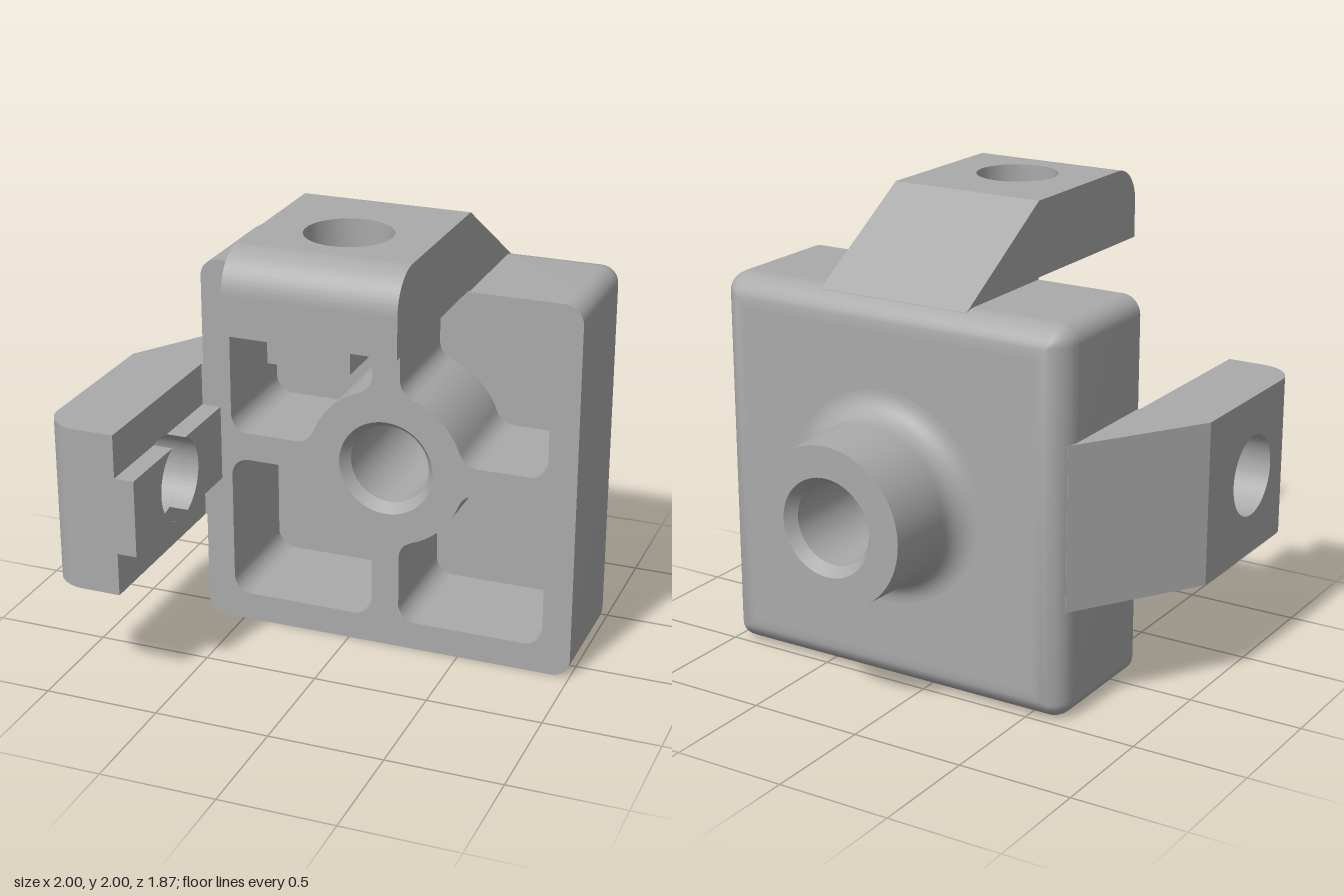
import * as THREE from 'three';
import { toCreasedNormals } from 'three/addons/utils/BufferGeometryUtils.js';

const grey = new THREE.MeshStandardMaterial({ color: 0xaaaaaa });
grey.name = 'grey plastic';

const HALF = 0.8335;                 // half width of the square block
const FRONT = 0.105, SHOULDER = -0.395, FILLET = 0.125;
const ARM_W = 0.354, ARM_LOW = 0.842, ARM_TOP = 1.1665, ARM_END = 0.937;
const HOLE_Z = 0.518, HOLE_R = 0.178;

function part(name, geometry) {
  const mesh = new THREE.Mesh(toCreasedNormals(geometry, 0.5), grey);
  mesh.name = name;
  return mesh;
}

function extrude(shape, depth) {
  return new THREE.ExtrudeGeometry(shape, { depth, bevelEnabled: false, curveSegments: 32 });
}

// Shape drawn in (x, z), filled between two heights
function slab(shape, low, high) {
  return extrude(shape, high - low).rotateX(Math.PI / 2).translate(0, high, 0);
}

// Profile drawn in (z, y), swept across the arm width
function profile(shape) {
  return extrude(shape, ARM_W * 2).rotateY(-Math.PI / 2).translate(ARM_W, 0, 0);
}

function circle(r, x = 0, y = 0) {
  return new THREE.Path().absarc(x, y, r, 0, Math.PI * 2, false);
}

// Outline points of a centred square with rounded corners
function roundedSquare(half, r) {
  const pts = [];
  for (let q = 0; q < 4; q++) {
    const sx = q === 0 || q === 3 ? 1 : -1, sy = q < 2 ? 1 : -1;
    for (let i = 0; i <= 8; i++) {
      const a = (q + i / 8) * Math.PI / 2;
      pts.push(new THREE.Vector2(sx * (half - r) + r * Math.cos(a), sy * (half - r) + r * Math.sin(a)));
    }
  }
  return pts;
}

// One pocket outline, mirrored into a quadrant by the signs
function pocket(sx, sy) {
  const near = 0.062, far = 0.708, r = 0.08, a = 0.367;
  const p = new THREE.Path();
  p.moveTo(0.41, near).lineTo(far - r, near);
  p.absarc(far - r, near + r, r, -Math.PI / 2, 0, false);
  p.absarc(far - r, far - r, r, 0, Math.PI / 2, false);
  p.absarc(near + r, far - r, r, Math.PI / 2, Math.PI, false);
  p.lineTo(near, 0.41);
  p.quadraticCurveTo(near, 0.348, 0.125, 0.325);
  p.absarc(0, 0, 0.348, Math.PI / 2 - a, a, true);
  p.quadraticCurveTo(0.348, near, 0.41, near);
  const pts = p.getPoints(10).map(v => new THREE.Vector2(v.x * sx, v.y * sy));
  return new THREE.Path(pts);
}

// Rounded rear edge, lofted through shrinking square outlines
function rearEdge() {
  const steps = 10, rings = [], pos = [];
  for (let i = 0; i <= steps; i++) {
    const t = i / steps * Math.PI / 2, d = FILLET * (1 - Math.cos(t));
    const z = SHOULDER - FILLET * Math.sin(t);
    rings.push(roundedSquare(HALF - d, Math.max(0.08 - d, 0.002)).map(v => [v.x, v.y, z]));
  }
  for (let i = 0; i < steps; i++) {
    const a = rings[i], b = rings[i + 1], n = a.length;
    for (let j = 0; j < n; j++) {
      const k = (j + 1) % n;
      pos.push(...a[j], ...b[j], ...a[k], ...a[k], ...b[j], ...b[k]);
    }
  }
  const g = new THREE.BufferGeometry();
  g.setAttribute('position', new THREE.Float32BufferAttribute(pos, 3));
  g.computeVertexNormals();
  return g;
}

function createBlock() {
  const block = new THREE.Group();
  block.name = 'block';

  // Walls, ribs and central ring
  const frame = new THREE.Shape(roundedSquare(HALF, 0.08));
  frame.holes.push(circle(0.21));
  for (const sx of [-1, 1]) for (const sy of [-1, 1]) frame.holes.push(pocket(sx, sy));
  block.add(part('ribbedFrame', extrude(frame, FRONT - SHOULDER).translate(0, 0, SHOULDER)));

  // Pocket floor, rounded rear edge and rear face
  const floor = new THREE.Shape(roundedSquare(HALF, 0.08));
  floor.holes.push(circle(0.21));
  block.add(part('pocketFloor', new THREE.ShapeGeometry(floor, 32).translate(0, 0, SHOULDER)));
  block.add(part('rearEdge', rearEdge()));
  const back = new THREE.Shape(roundedSquare(HALF - FILLET, 0.002));
  back.holes.push(circle(0.46));
  block.add(part('rearFace', new THREE.ShapeGeometry(back, 32).rotateY(Math.PI).translate(0, 0, SHOULDER - FILLET)));

  // Flared rear spout with a chamfered bore running through the block
  const pts = [];
  for (let i = 0; i <= 10; i++) {
    const t = (1 - i / 10) * Math.PI / 2;
    pts.push([0.46 - 0.11 * Math.cos(t), 0.63 - 0.11 * Math.sin(t)]);
  }
  pts.push([0.344, 0.935], [0.21, 0.935], [0.175, 0.885], [0.175, -0.055], [0.21, -FRONT]);
  const spout = new THREE.LatheGeometry(pts.map(p => new THREE.Vector2(...p)), 64);
  block.add(part('spout', spout.rotateX(-Math.PI / 2)));
  return block;
}

function createArm(name) {
  const arm = new THREE.Group();
  arm.name = name;

  // Sloping root that runs onto the block
  const root = new THREE.Shape();
  root.moveTo(-0.45, 0.78).lineTo(FRONT - 0.005, 0.78).lineTo(FRONT, ARM_LOW);
  root.lineTo(FRONT, ARM_TOP).lineTo(-0.45, 0.822);
  arm.add(part('armRoot', profile(root)));

  // Flat middle with a round hole
  const noseZ = ARM_END - 0.16;
  const mid = new THREE.Shape();
  mid.moveTo(-ARM_W, FRONT).lineTo(ARM_W, FRONT).lineTo(ARM_W, noseZ).lineTo(-ARM_W, noseZ);
  mid.holes.push(circle(HOLE_R, 0, HOLE_Z));
  arm.add(part('armPlate', slab(mid, ARM_LOW, ARM_TOP)));

  // Rounded nose
  const nose = new THREE.Shape();
  nose.moveTo(noseZ, ARM_LOW).lineTo(ARM_END, ARM_LOW);
  nose.absarc(noseZ, ARM_TOP - 0.16, 0.16, 0, Math.PI / 2, false);
  arm.add(part('armNose', profile(nose)));

  // Locating rail, cut in two by the hole
  const w = 0.167, a = Math.acos(w / HOLE_R);
  for (const s of [-1, 1]) {
    const end = s > 0 ? ARM_END : FRONT;
    const rail = new THREE.Shape();
    rail.moveTo(-w, end).lineTo(w, end);
    rail.absarc(0, HOLE_Z, HOLE_R, s * a, s * (Math.PI - a), s < 0);
    arm.add(part(s > 0 ? 'outerRail' : 'innerRail', slab(rail, 0.757, ARM_LOW)));
  }
  return arm;
}

export function createModel() {
  const model = new THREE.Group();
  model.name = 'bracketBlock';
  const topArm = createArm('topArm');
  const sideArm = createArm('sideArm');
  sideArm.rotation.z = Math.PI / 2;

  const body = new THREE.Group();
  body.name = 'body';
  body.position.set(0.1665, HALF, 0);
  body.add(createBlock(), topArm, sideArm);
  model.add(body);
  return model;
}
